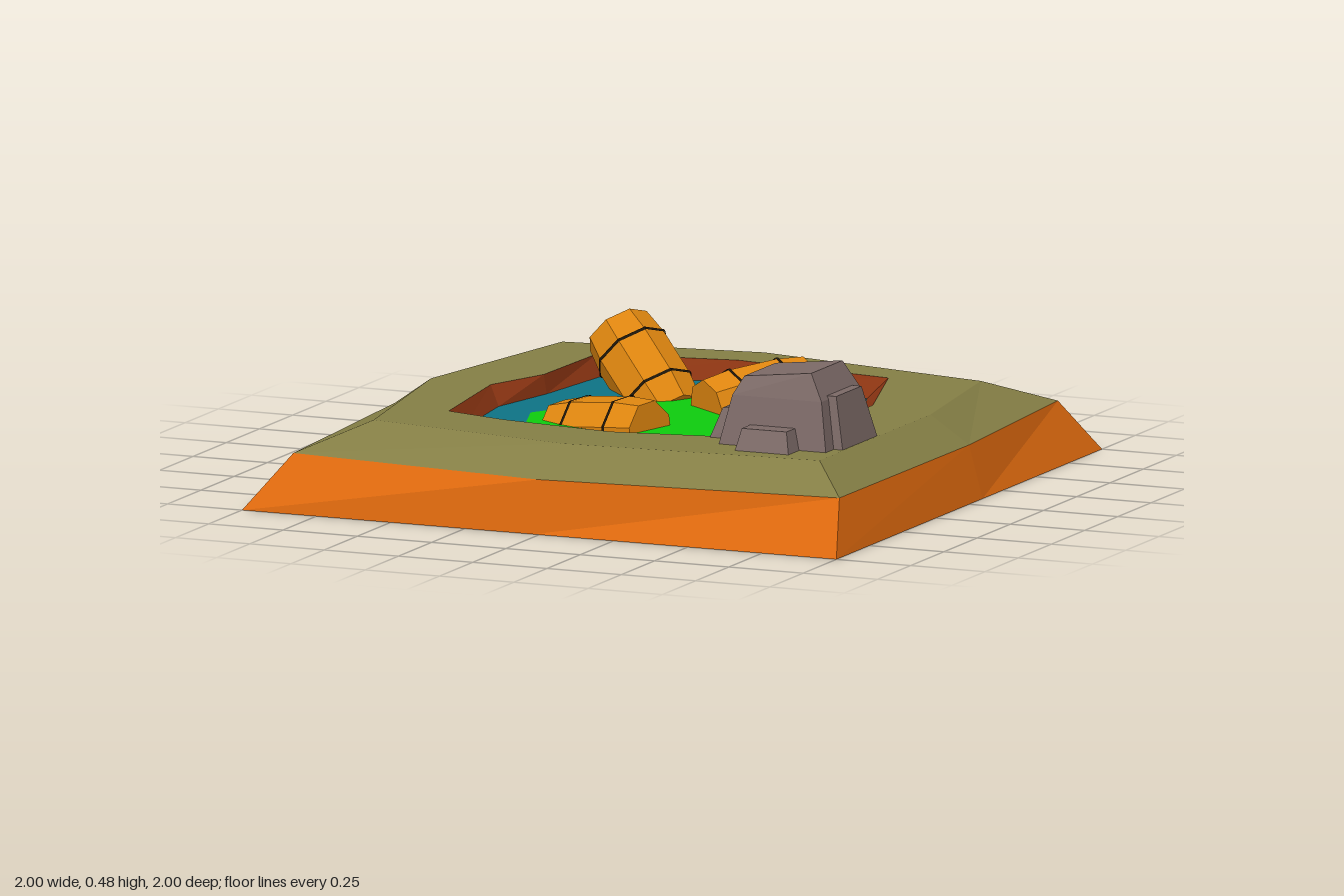
import * as THREE from 'three';

const paint = (name, color) => {
  const m = new THREE.MeshStandardMaterial({ color, flatShading: true, side: THREE.DoubleSide });
  m.name = name;
  return m;
};

// Walls between closed rings of [x, y, z] points, optionally capped at the last ring
function loft(rings, cap = false) {
  const pos = [];
  for (let r = 0; r < rings.length - 1; r++) {
    const lo = rings[r], hi = rings[r + 1], n = lo.length;
    for (let i = 0; i < n; i++) {
      const j = (i + 1) % n;
      pos.push(...lo[j], ...lo[i], ...hi[i], ...lo[j], ...hi[i], ...hi[j]);
    }
  }
  if (cap) {
    const top = rings[rings.length - 1];
    for (let i = 1; i < top.length - 1; i++) pos.push(...top[0], ...top[i + 1], ...top[i]);
  }
  const g = new THREE.BufferGeometry();
  g.setAttribute('position', new THREE.Float32BufferAttribute(pos, 3));
  g.computeVertexNormals();
  return g;
}

// Flat horizontal sheet from an [x, z] outline with an optional hole
function sheet(outline, y, hole) {
  const pts = (list) => list.map(([x, z]) => new THREE.Vector2(x, -z));
  const shape = new THREE.Shape(pts(outline));
  if (hole) shape.holes.push(new THREE.Path(pts(hole)));
  return new THREE.ShapeGeometry(shape).rotateX(-Math.PI / 2).translate(0, y, 0);
}

const at = (outline, y) => outline.map(([x, z]) => [x, y, z]);

export function createModel() {
  const mats = {
    earth: paint('orange earth', 0xdc680e),
    grass: paint('olive ground', 0x847e45),
    bank: paint('brown bank', 0x8a3412),
    water: paint('teal water', 0x0d7385),
    slime: paint('green slime', 0x0ecb0e),
    wood: paint('barrel wood', 0xdd850f),
    iron: paint('black iron', 0x1c1408),
    stone: paint('grey stone', 0x7b6966),
  };
  const model = new THREE.Group();
  const add = (name, geo, mat, parent = model) => {
    const mesh = new THREE.Mesh(geo, mat);
    mesh.name = name;
    parent.add(mesh);
    return mesh;
  };

  // Ground outlines, clockwise from the back left corner
  const base = [[-1, -1], [-0.05, -1], [1, -1], [1, -0.1], [1, 1], [-0.02, 1], [-1, 1], [-1, -0.02]];
  const rim = [[-0.87, -0.89], [-0.05, -0.965], [0.905, -0.88], [0.955, -0.1],
    [0.95, 0.865], [-0.02, 0.965], [-0.885, 0.87], [-0.94, -0.02]];
  const plateau = [[-0.7, -0.74], [-0.06, -0.83], [0.74, -0.67], [0.825, -0.1],
    [0.825, 0.735], [-0.01, 0.8], [-0.7, 0.68], [-0.82, -0.02]];
  const bankTop = [[-0.52, -0.6], [-0.08, -0.68], [0.46, -0.6], [0.6, -0.17], [0.6, 0.1], [0.55, 0.45],
    [0.36, 0.5], [0.04, 0.56], [-0.34, 0.51], [-0.55, 0.45], [-0.61, 0], [-0.53, -0.22]];
  const shore = [[-0.485, -0.555], [-0.07, -0.635], [0.41, -0.55], [0.55, -0.18], [0.55, 0.08], [0.5, 0.42],
    [0.36, 0.465], [0.04, 0.51], [-0.28, 0.465], [-0.525, 0.39], [-0.57, 0.03], [-0.52, -0.22]];
  const patch = [[-0.04, -0.44], [0.03, -0.41], [0.27, -0.33], [0.34, -0.06], [0.24, 0.19], [0.04, 0.375],
    [-0.13, 0.29], [-0.36, 0.31], [-0.44, 0.08], [-0.33, -0.11], [-0.27, -0.33], [-0.1, -0.4]];
  const groundY = 0.25, waterY = 0.19;

  add('earthSides', loft([at(base, 0), at(rim, 0.165)]), mats.earth);
  add('groundSlope', loft([at(rim, 0.165), at(plateau, groundY)]), mats.grass);
  add('groundTop', sheet(plateau, groundY, bankTop), mats.grass);
  add('pondBank', loft([at(bankTop, groundY), at(shore, waterY)]), mats.bank);
  add('water', sheet(shore, waterY, patch), mats.water);
  add('slimePatch', sheet(patch, waterY), mats.slime);

  // Half-sunk barrels: octagonal with two iron hoops each
  const half = 0.178, rEnd = 0.107, rMid = 0.119, hoopY = 0.085;
  const profile = [[0, -half], [rEnd, -half], [rMid, -hoopY], [rMid, hoopY], [rEnd, half], [0, half]]
    .map(([x, y]) => new THREE.Vector2(x, y));
  const barrel = (center, axis, turn) => {
    const group = new THREE.Group();
    group.name = 'barrel';
    const body = new THREE.LatheGeometry(profile, 8).toNonIndexed();
    body.computeVertexNormals();
    add('barrelBody', body.rotateY(turn), mats.wood, group);
    for (const s of [-1, 1]) {
      const hoop = new THREE.CylinderGeometry(rMid + 0.004, rMid + 0.004, 0.01, 8, 1, true);
      add('barrelHoop', hoop.rotateY(turn).translate(0, s * hoopY, 0), mats.iron, group);
    }
    group.position.set(...center);
    group.quaternion.setFromUnitVectors(new THREE.Vector3(0, 1, 0), new THREE.Vector3(...axis).normalize());
    model.add(group);
  };
  barrel([-0.268, 0.24, -0.4], [-0.67, 0.64, -0.36], 0.2);
  barrel([0.148, 0.2, -0.312], [0.21, 0.04, -0.285], 0.1);
  barrel([-0.157, 0.155, 0.147], [0.345, 0.04, 0.09], 0.2);

  // Boulder: tapered blocks, each level [x0, x1, z0, z1, yLeft, yRight]
  const boulder = new THREE.Group();
  boulder.name = 'boulder';
  model.add(boulder);
  const block = (name, levels) => add(name, loft(levels.map(([x0, x1, z0, z1, ya, yb = ya]) =>
    [[x0, ya, z0], [x1, yb, z0], [x1, yb, z1], [x0, ya, z1]]), true), mats.stone, boulder);
  block('boulderCore', [[0.41, 0.81, 0.25, 0.64, 0.12], [0.43, 0.79, 0.27, 0.61, 0.25],
    [0.46, 0.76, 0.285, 0.575, 0.4], [0.485, 0.71, 0.305, 0.54, 0.455, 0.48]]);
  block('boulderBack', [[0.48, 0.71, 0.04, 0.35, 0.12], [0.49, 0.7, 0.075, 0.35, 0.25],
    [0.525, 0.685, 0.105, 0.35, 0.345, 0.355]]);
  block('boulderRight', [[0.6, 0.84, 0.27, 0.57, 0.12], [0.6, 0.82, 0.29, 0.55, 0.25],
    [0.6, 0.785, 0.33, 0.52, 0.41]]);
  block('boulderLeft', [[0.33, 0.6, 0.3, 0.54, 0.12], [0.36, 0.6, 0.325, 0.52, 0.25],
    [0.39, 0.6, 0.35, 0.49, 0.34, 0.37]]);
  block('boulderFront', [[0.51, 0.71, 0.5, 0.72, 0.12], [0.52, 0.7, 0.5, 0.69, 0.25],
    [0.53, 0.68, 0.5, 0.66, 0.315]]);

  return model;
}
